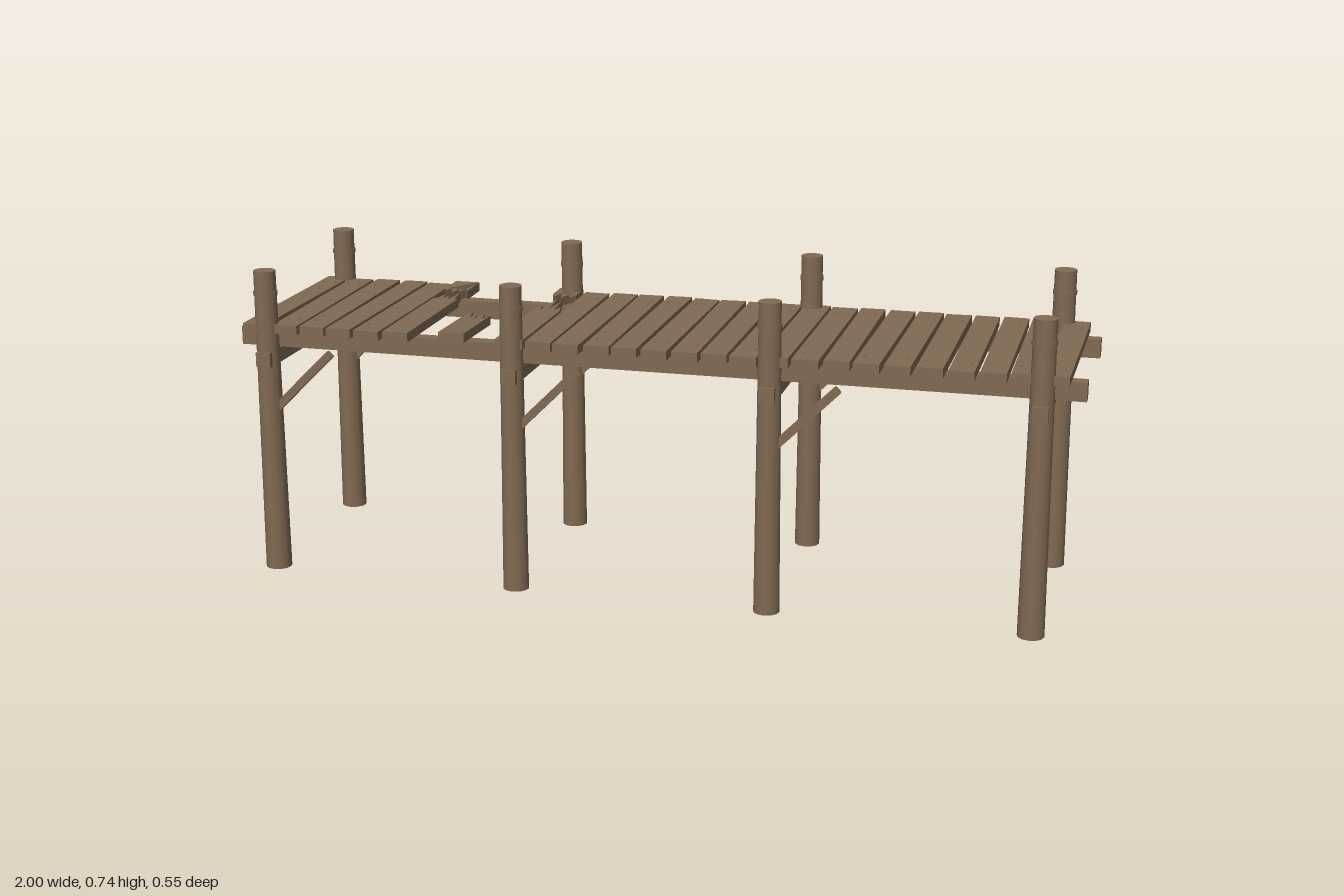
import * as THREE from 'three';

const wood = new THREE.MeshStandardMaterial({ color: 0x806a53 });
wood.name = 'weatheredWood';

// small seeded generator for plank irregularity
function seeded(seed) {
  return () => {
    seed = (seed * 1664525 + 1013904223) % 4294967296;
    return seed / 4294967296;
  };
}

function add(parent, name, geometry, x = 0, y = 0, z = 0) {
  const mesh = new THREE.Mesh(geometry, wood);
  mesh.name = name;
  mesh.position.set(x, y, z);
  parent.add(mesh);
  return mesh;
}

const box = (w, h, d) => new THREE.BoxGeometry(w, h, d);

// plank fragment outlined from above; teeth are z positions of a splintered edge, left to right
function brokenPlank(width, straightZ, teeth, thickness) {
  const shape = new THREE.Shape();
  shape.moveTo(-width / 2, -straightZ);
  shape.lineTo(width / 2, -straightZ);
  for (let i = teeth.length - 1; i >= 0; i--) {
    shape.lineTo(-width / 2 + (width * i) / (teeth.length - 1), -teeth[i]);
  }
  shape.closePath();
  if (THREE.ShapeUtils.area(shape.getPoints()) < 0) shape.curves.reverse();
  const g = new THREE.ExtrudeGeometry(shape, { depth: thickness, bevelEnabled: false });
  return g.rotateX(-Math.PI / 2);
}

export function createModel() {
  const pier = new THREE.Group();
  pier.name = 'woodenPier';
  const postXs = [-0.918, -0.31, 0.298, 0.906];
  const postZ = 0.242;
  const deckY = 0.588, thick = 0.022;

  // posts with collars, cross beams and diagonal braces
  postXs.forEach((x, i) => {
    const bay = new THREE.Group();
    bay.name = 'postPair';
    pier.add(bay);
    add(bay, 'crossBeam', box(0.036, 0.035, 0.55), x, 0.526, 0);
    for (const side of [-1, 1]) {
      const z = side * postZ;
      add(bay, 'post', new THREE.CylinderGeometry(0.026, 0.031, 0.734, 12), x, 0.367, z);
      add(bay, 'postCollar', new THREE.CylinderGeometry(0.0285, 0.0285, 0.011, 12), x, 0.6825, z);
      add(bay, 'postCap', new THREE.CylinderGeometry(0.0265, 0.0265, 0.007, 12), x, 0.7335, z);
      if (i < 3) {
        const brace = add(bay, 'brace', box(0.195, 0.019, 0.019), x + 0.088, 0.474, z);
        brace.rotation.z = Math.PI / 4;
      }
    }
  });

  // long beams carrying the deck
  for (const side of [-1, 1]) {
    add(pier, 'stringer', box(2, 0.044, 0.033), 0, 0.566, side * 0.19);
  }

  // deck planks, leaving room for the damaged ones
  const deck = new THREE.Group();
  deck.name = 'deck';
  pier.add(deck);
  const rand = seeded(7);
  const jitter = (a) => (rand() * 2 - 1) * a;
  const plankX = (i) => -0.94 + i * 0.0695;
  const damaged = [5, 6, 7, 8, 9];
  for (let i = 0; i < 28; i++) {
    if (damaged.includes(i)) continue;
    const plank = add(deck, 'plank', box(0.06 + jitter(0.003), thick, 0.507 + jitter(0.008)),
      plankX(i), deckY + thick / 2 + jitter(0.001), jitter(0.004));
    plank.rotation.y = jitter(0.01);
    plank.rotation.z = jitter(0.015);
    // nail heads above the stringers
    for (const z of [-0.19, 0.19]) {
      for (const x of [-0.015, 0.015]) {
        add(plank, 'nail', new THREE.CylinderGeometry(0.0025, 0.0025, 0.002, 6), x, thick / 2 + 0.001, z);
      }
    }
  }

  // splintered planks around the hole
  add(deck, 'brokenPlankFront', brokenPlank(0.062, 0.252,
    [-0.1, -0.09, -0.14, -0.1, -0.125, -0.085, -0.16, -0.09, -0.1], thick), plankX(5), deckY);
  const back = add(deck, 'brokenPlankBack', brokenPlank(0.062, -0.26,
    [-0.18, -0.165, -0.19, -0.145, -0.18, -0.16, -0.185, -0.17], thick), plankX(5), deckY);
  back.rotation.x = 0.02;
  const stub = add(deck, 'brokenPlankStub', brokenPlank(0.062, 0.254,
    [0.09, 0.035, 0.085, 0.06, 0.1, 0.05, 0.095, 0.06], thick), plankX(7), deckY + 0.003);
  stub.rotation.x = -0.02;
  add(deck, 'brokenPlankSide', brokenPlank(0.066, 0.252,
    [-0.05, -0.09, -0.04, -0.17, -0.06, -0.14, -0.05, -0.08, -0.04], thick), plankX(9), deckY);
  const sideBack = add(deck, 'brokenPlankSideBack', brokenPlank(0.06, -0.252,
    [-0.19, -0.17, -0.2, -0.16, -0.195, -0.17, -0.19], thick), plankX(9), deckY);
  sideBack.rotation.x = 0.02;

  return pier;
}
